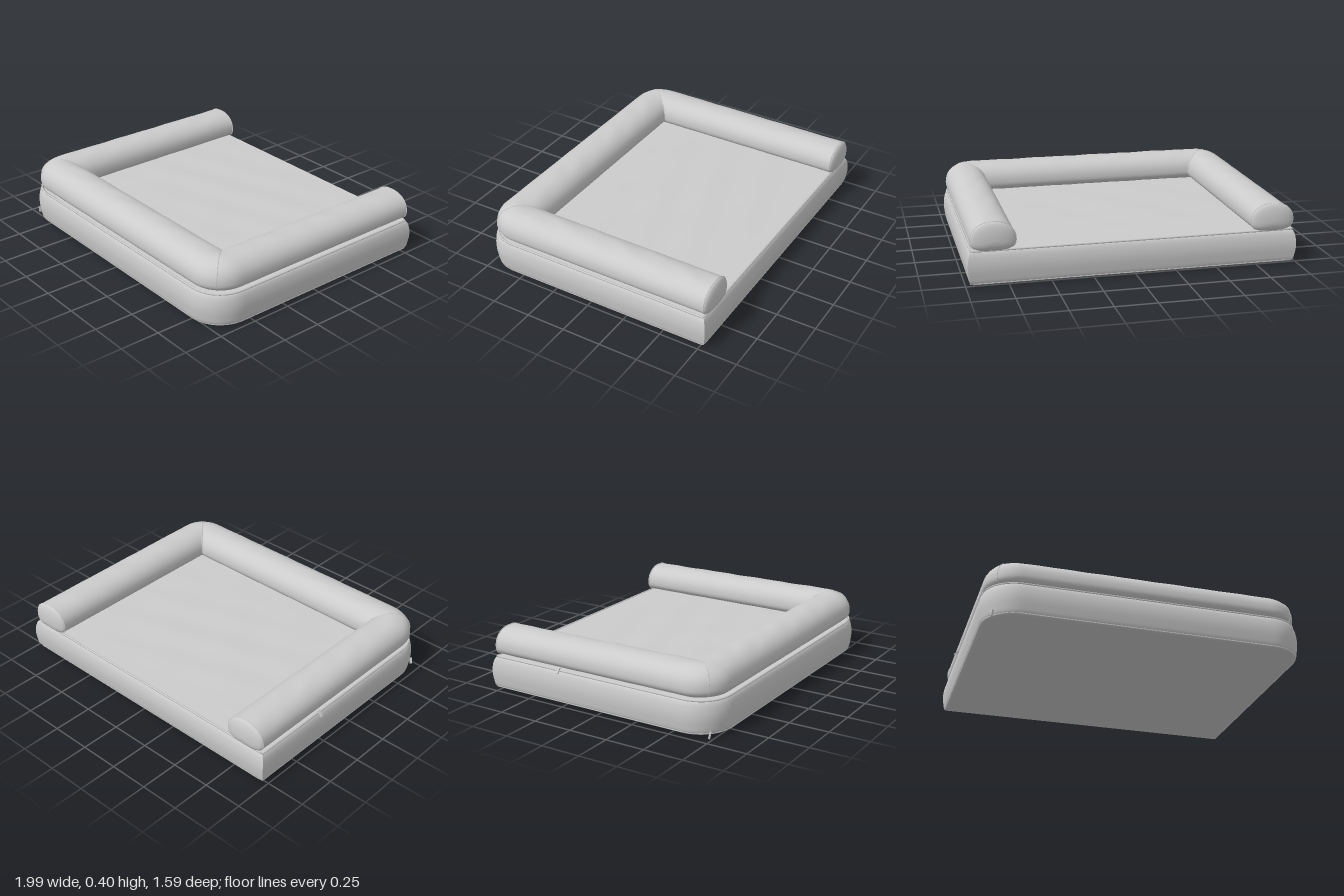
import * as THREE from 'three';

const mat = new THREE.MeshStandardMaterial({ color: 0xcccccc, side: THREE.DoubleSide });
const lerp = THREE.MathUtils.lerp;
const spow = (v, e) => Math.sign(v) * Math.abs(v) ** e;

// Rounds the two front corners: squares around the corner centre become arcs
function roundCorner(x, y, z) {
  const cx = 0.77, cz = 0.57;
  const dx = Math.abs(x) - cx, dz = z - cz;
  if (dx > 0 && dz > 0) {
    const k = Math.max(dx, dz) / Math.hypot(dx, dz);
    return [Math.sign(x) * (cx + dx * k), y, cz + dz * k];
  }
  return [x, y, z];
}

// Smooth sheet from a function of two parameters, each 0..1
function grid(nu, nv, fn) {
  const pos = [], idx = [];
  for (let i = 0; i <= nu; i++)
    for (let j = 0; j <= nv; j++) pos.push(...fn(i / nu, j / nv));
  for (let i = 0; i < nu; i++)
    for (let j = 0; j < nv; j++) {
      const a = i * (nv + 1) + j, b = a + nv + 1;
      idx.push(a, b, a + 1, b, b + 1, a + 1);
    }
  const g = new THREE.BufferGeometry();
  g.setAttribute('position', new THREE.Float32BufferAttribute(pos, 3));
  g.setIndex(idx);
  g.computeVertexNormals();
  return g;
}

// Left-back to front to right-back outline, inset by d
function outline(t, d, y) {
  const W = 0.99 - d, F = 0.79 - d, s = t * 3;
  if (s < 1) return roundCorner(-W, y, lerp(-F, F, s));
  if (s < 2) return roundCorner(lerp(-W, W, s - 1), y, F);
  return roundCorner(W, y, lerp(F, -F, s - 2));
}

// Side profile of the base: inset and height
const baseProfile = new THREE.CatmullRomCurve3(
  [[0.034, 0.012], [0.016, 0.022], [0.007, 0.06], [0.001, 0.12], [0.007, 0.175], [0.018, 0.205], [0.03, 0.215]]
    .map(([d, y]) => new THREE.Vector3(d, y, 0)));

// Bolster cross-section: u runs 0 (inner edge) to 1 (outer edge)
function section(v, scale = 1) {
  const a = -Math.PI / 2 + v * Math.PI * 2;
  const c = Math.cos(a), s = Math.sin(a);
  return s < 0
    ? { u: 0.5 - 0.5 * scale * spow(c, 0.6), y: 0.275 + 0.062 * scale * spow(s, 0.8) }
    : { u: 0.5 - 0.5 * scale * spow(c, 0.92), y: 0.275 + 0.12 * scale * spow(s, 0.92) };
}
const across = (u, inner, width) => inner + width * u;
const creases = (p, u) => 0.0022 * Math.sin(p * 23 + u * 9) * Math.sin(p * 7 + 1 - u * 4) * Math.sin(Math.PI * u);

function sidePoint(side, t, v) {
  const { u, y } = section(v);
  const z = lerp(-0.765, across(u, 0.495, 0.275), t);
  const drop = (1 - t) * 0.1 * Math.max(0, y - 0.275);
  return roundCorner(side * across(u, 0.705, 0.265), y - drop + creases(z + side, u), z);
}

function frontPoint(t, v) {
  const { u, y } = section(v);
  const x = lerp(1, -1, t) * across(u, 0.705, 0.265);
  return roundCorner(x, y + creases(x, u), across(u, 0.495, 0.275));
}

function capPoint(side, t, v) {
  const ang = t * Math.PI / 2;
  const { u, y } = section(v, Math.sin(ang));
  const drop = 0.1 * Math.max(0, y - 0.275);
  return [side * across(u, 0.705, 0.265), y - drop, -0.765 - 0.032 * Math.cos(ang)];
}

export function createModel() {
  const group = new THREE.Group();
  const add = (name, geo) => {
    const m = new THREE.Mesh(geo, mat);
    m.name = name;
    group.add(m);
    return m;
  };

  // Base cushion: wrapped wall, flat back wall and bottom
  add('baseWall', grid(180, 18, (t, v) => {
    const p = baseProfile.getPoint(v);
    return outline(t, p.x, p.y);
  }));
  add('baseBack', grid(24, 18, (t, v) => {
    const p = baseProfile.getPoint(v);
    return [lerp(1, -1, t) * (0.99 - p.x), p.y, -(0.79 - p.x)];
  }));
  add('baseBottom', grid(180, 1, (t, v) => {
    const [x, y, z] = outline(1 - t, 0.034, 0.012);
    return [lerp(x, 0, v), y, lerp(z, -0.756, v)];
  }));

  // Sleeping surface with soft wrinkles
  add('sleepingSurface', grid(60, 60, (s, t) => {
    const z = lerp(-0.765, 0.755, s), x = lerp(-0.96, 0.96, t);
    const edge = Math.sin(Math.PI * s) * Math.sin(Math.PI * t);
    const w = Math.sin(x * 9 + z * 4) * Math.sin(z * 13 - x * 3) + 0.6 * Math.sin(z * 21 + x * 6);
    return roundCorner(x, 0.215 + edge * (0.004 + 0.0025 * w), z);
  }));

  // Bolsters on three sides, mitred at the front corners
  add('frontBolster', grid(90, 40, frontPoint));
  for (const side of [1, -1]) {
    const n = side > 0 ? 'left' : 'right';
    const dir = t => (side > 0 ? t : 1 - t);
    add(n + 'Bolster', grid(60, 40, (t, v) => sidePoint(side, dir(t), v)));
    add(n + 'BolsterEnd', grid(10, 40, (t, v) => capPoint(side, dir(t), v)));

    // Stitched seams along the mitre and around the bolster end
    for (const [name, t] of [['MitreSeam', 1], ['EndSeam', 0]]) {
      const pts = Array.from({ length: 32 }, (_, i) =>
        new THREE.Vector3(...sidePoint(side, t, 0.12 + 0.76 * i / 31)));
      add(n + name, new THREE.TubeGeometry(new THREE.CatmullRomCurve3(pts), 48, 0.003, 6));
    }
  }

  // Piping round the top and bottom of the base
  for (const [name, d, y, r] of [['topPiping', 0.024, 0.214, 0.007], ['bottomPiping', 0.02, 0.021, 0.006]]) {
    const pts = Array.from({ length: 121 }, (_, i) => new THREE.Vector3(...outline(i / 120, d, y)));
    const path = new THREE.CurvePath();
    for (let i = 0; i < pts.length; i++)
      path.add(new THREE.LineCurve3(pts[i], pts[(i + 1) % pts.length]));
    add(name, new THREE.TubeGeometry(path, 300, r, 6, true));
  }

  // Zip pulls
  const pull = (name, x, y, z, tilt) => {
    const m = add(name, new THREE.BoxGeometry(0.008, 0.04, 0.014));
    m.position.set(x, y, z);
    m.rotation.set(0, -0.8 * Math.sign(z + 0.5) * (z > 0 ? 1 : 0), tilt);
  };
  pull('coverZipPull', -0.985, 0.222, -0.28, -0.7);
  pull('baseZipPull', -0.935, 0.022, 0.73, -0.2);

  return group;
}
